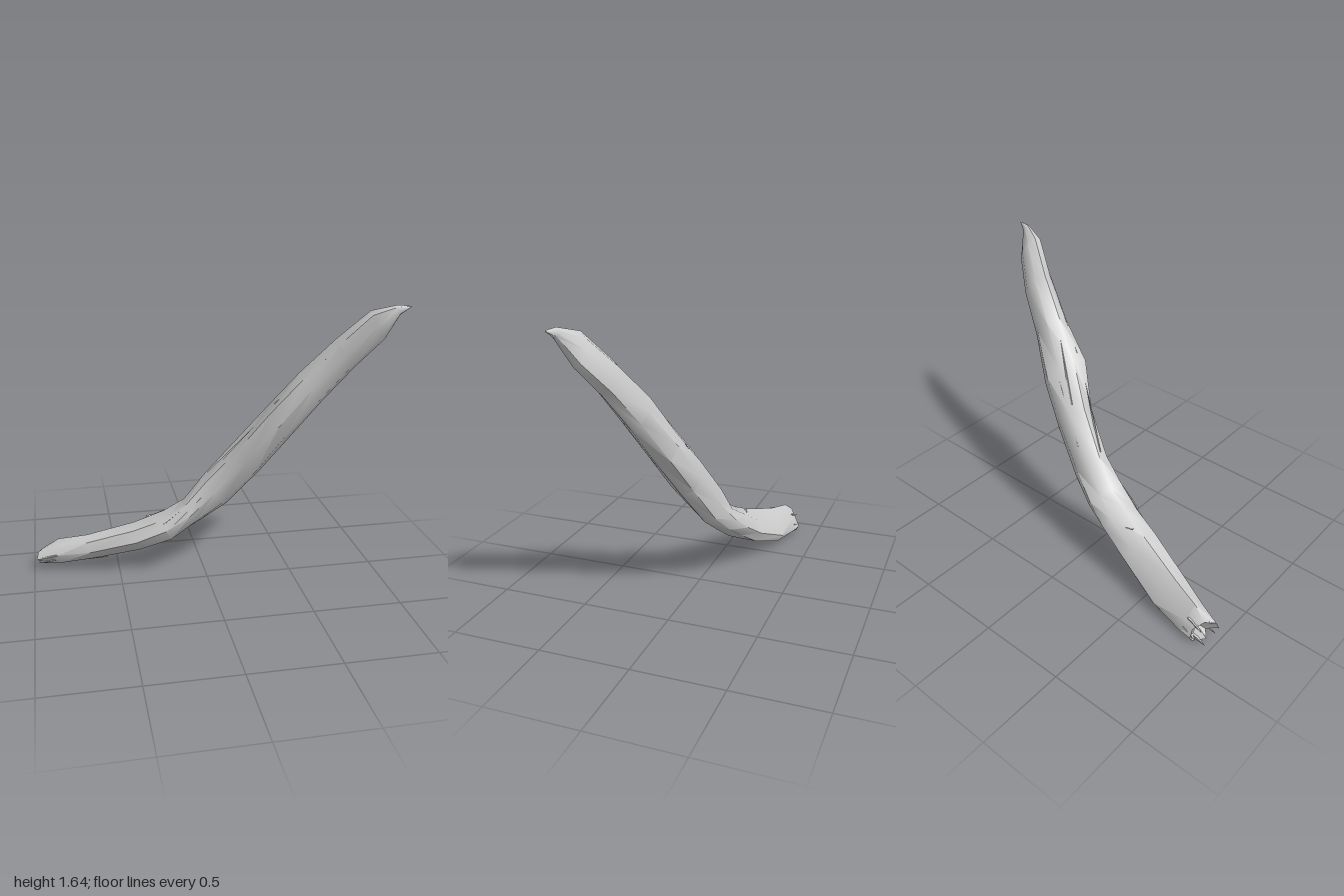
import * as THREE from 'three';
import { toCreasedNormals } from 'three/addons/utils/BufferGeometryUtils.js';

const SIDES = 8;
const material = new THREE.MeshStandardMaterial({ color: 0xcccccc, side: THREE.DoubleSide });
const splinterMaterial = new THREE.MeshStandardMaterial({ color: 0xcccccc, flatShading: true });

// Cross-sections along the branch: top x, y, underside x, y, back z, front z, drop of the back edge
const SECTIONS = [
  [-0.94, 0.145, -0.93, 0.035, -0.375, -0.25, 0.045],
  [-0.85, 0.20, -0.82, 0.05, -0.365, -0.21, 0.08],
  [-0.68, 0.235, -0.60, 0.09, -0.335, -0.14, 0.075],
  [-0.40, 0.33, -0.35, 0.155, -0.27, -0.055, 0.035],
  [-0.24, 0.405, -0.17, 0.24, -0.24, -0.005, 0.01],
  [-0.12, 0.48, -0.02, 0.34, -0.205, 0.005, 0],
  [0.00, 0.64, 0.13, 0.445, -0.165, 0.01, 0],
  [0.17, 0.86, 0.31, 0.665, -0.11, 0.09, 0],
  [0.32, 1.07, 0.46, 0.89, -0.04, 0.19, 0],
  [0.48, 1.27, 0.62, 1.11, 0.05, 0.22, 0],
  [0.65, 1.46, 0.77, 1.31, 0.135, 0.275, 0],
  [0.80, 1.62, 0.885, 1.465, 0.235, 0.34, 0],
  [0.92, 1.655, 0.937, 1.605, 0.325, 0.367, 0],
  [0.985, 1.65, 0.985, 1.642, 0.357, 0.365, 0],
];

// Point on (or, with another scale, near) the bark; s is the section, a the angle from the top to the front
function barkPoint(s, a, scale = 1) {
  const i = Math.min(Math.floor(s), SECTIONS.length - 2);
  const [tx, ty, bx, by, z0, z1, drop] = SECTIONS[i].map((n, k) => THREE.MathUtils.lerp(n, SECTIONS[i + 1][k], s - i));
  const c = Math.cos(a) * scale / 2;
  const f = Math.sin(a) * scale * (z1 - z0) / 2;
  return new THREE.Vector3(
    (tx + bx) / 2 + (tx - bx) * c - 0.3 * f,
    (ty + by) / 2 + (ty - by) * c + Math.min(0, Math.sin(a)) * scale * drop,
    (z0 + z1) / 2 + f,
  );
}

// Faceted shaft with a ragged, hollowed broken end
function shaftGeometry() {
  const ragged = [0.01, -0.02, -0.03, 0.03, -0.02, 0.03, 0.03, 0.04];
  const points = [];
  const index = [];
  SECTIONS.forEach((_, i) => {
    for (let j = 0; j < SIDES; j++) {
      const gnarl = j % 2 ? 1 + 0.08 * Math.sin(i * 2.3 + j * 1.7) : 1;
      const p = barkPoint(i, j / SIDES * Math.PI * 2, gnarl);
      if (i === 0) p.x += ragged[j];
      points.push(p);
    }
  });
  for (let i = 0; i < SECTIONS.length - 1; i++) {
    for (let j = 0; j < SIDES; j++) {
      const a = i * SIDES + j, b = i * SIDES + (j + 1) % SIDES;
      index.push(a, b, a + SIDES, b, b + SIDES, a + SIDES);
    }
  }
  const hollow = points.push(new THREE.Vector3(-0.87, 0.09, -0.3)) - 1;
  const tip = points.push(new THREE.Vector3(0.99, 1.646, 0.361)) - 1;
  const last = (SECTIONS.length - 1) * SIDES;
  for (let j = 0; j < SIDES; j++) {
    const k = (j + 1) % SIDES;
    index.push(hollow, k, j, tip, last + j, last + k);
  }
  const geometry = new THREE.BufferGeometry().setFromPoints(points);
  geometry.setIndex(index);
  return toCreasedNormals(geometry, 0.8);
}

// Thin three-sided spike from one point to another
function spike(name, from, to, radius) {
  const length = from.distanceTo(to);
  const mesh = new THREE.Mesh(new THREE.ConeGeometry(radius, length, 3), splinterMaterial);
  mesh.position.lerpVectors(from, to, 0.5);
  mesh.quaternion.setFromUnitVectors(new THREE.Vector3(0, 1, 0), to.clone().sub(from).normalize());
  mesh.name = name;
  return mesh;
}

export function createModel() {
  const branch = new THREE.Group();
  branch.name = 'brokenBranch';

  const shaft = new THREE.Mesh(shaftGeometry(), material);
  shaft.name = 'shaft';
  branch.add(shaft);

  // Splinters around the broken end: angle, end x
  const splinters = new THREE.Group();
  splinters.name = 'endSplinters';
  [[0.4, -0.96], [1.5, -0.99], [2.3, -0.98], [3.1, -0.95], [3.9, -0.97], [4.6, -0.92], [5.6, -0.94]].forEach(([a, x]) => {
    const to = barkPoint(0, a, 0.9);
    to.x = x;
    splinters.add(spike('splinter', barkPoint(0.9, a, 0.7), to, 0.026));
  });
  branch.add(splinters);

  // Raised bark slivers: start section and angle, end section and angle
  const slivers = new THREE.Group();
  slivers.name = 'barkSlivers';
  [
    [4.0, 1.0, 5.3, 0.9], [4.4, 1.4, 5.6, 1.2], [6.1, 0.3, 7.6, 0.5], [7.2, -0.6, 8.6, -0.3],
    [8.2, 0.5, 10.2, 0.8], [6.4, -1.0, 7.8, -0.9], [2.2, 2.6, 1.0, 2.8], [2.6, 3.6, 1.2, 3.8],
  ].forEach(([s0, a0, s1, a1]) => {
    slivers.add(spike('sliver', barkPoint(s0, a0, 0.91), barkPoint(s1, a1, 0.98), 0.012));
  });
  branch.add(slivers);

  // Torn lip of bark across the upper back
  branch.add(spike('tornBark', barkPoint(3.4, -0.2, 0.93), barkPoint(4.0, -1.1, 0.97), 0.016));

  return branch;
}
